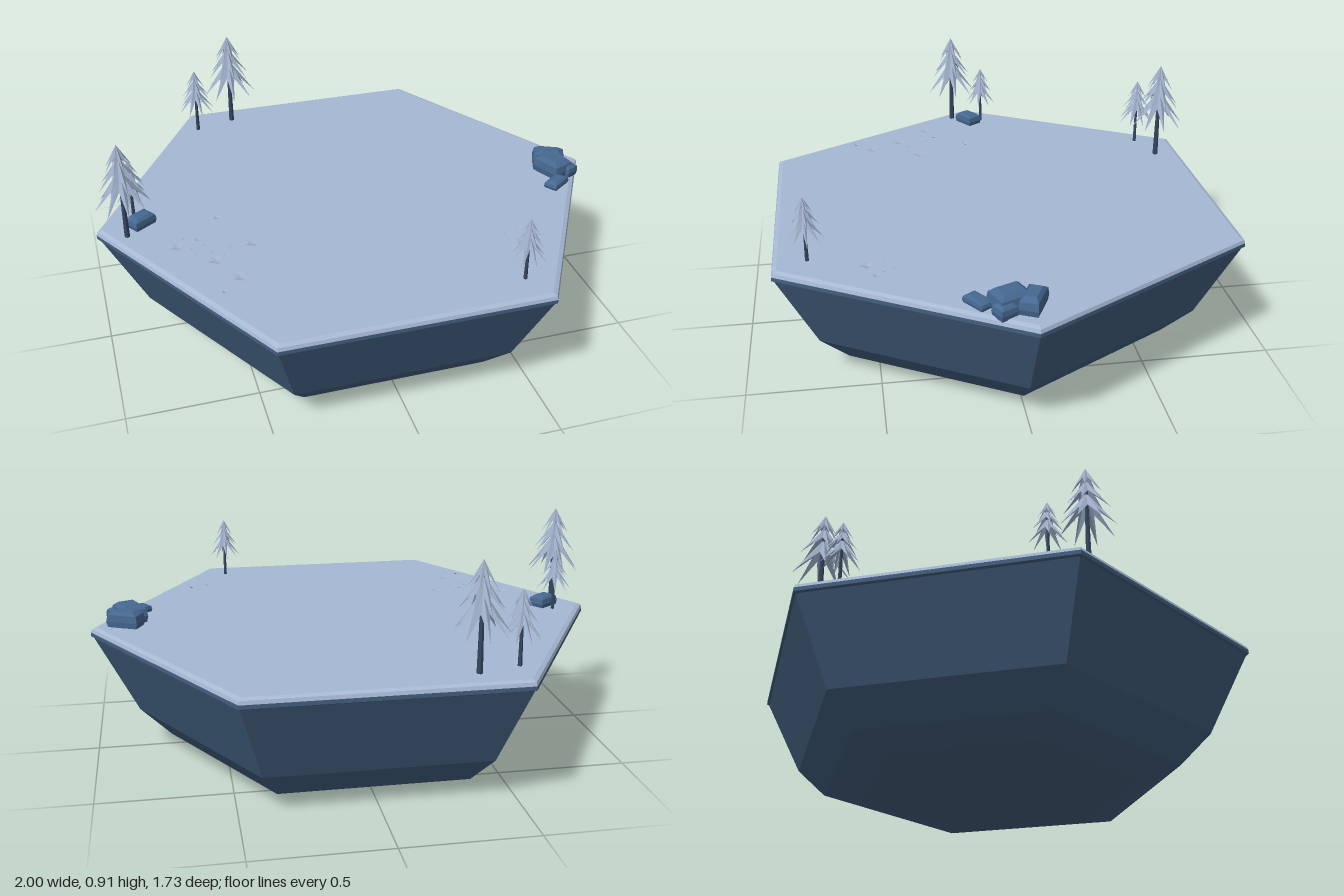
import * as THREE from 'three';

const mat = (name, color, side = THREE.FrontSide) => {
  const m = new THREE.MeshStandardMaterial({ color, side });
  m.name = name;
  return m;
};

// Faceted copy of a geometry: every face gets its own normal
function faceted(geometry) {
  const g = geometry.index ? geometry.toNonIndexed() : geometry;
  g.computeVertexNormals();
  return g;
}

// Faceted turned solid; profile is [radius, y] from bottom to top
function turned(profile, sides, start) {
  const points = profile.map(([r, y]) => new THREE.Vector2(r, y));
  return faceted(new THREE.LatheGeometry(points, sides, start));
}

// Star-shaped cone: alternate rim vertices are pulled in and shifted vertically
function starCone(spikes, radius, apexY, tipY, innerRatio, innerY) {
  const g = new THREE.ConeGeometry(1, 1, spikes * 2, 1, true);
  const p = g.attributes.position;
  for (let i = 0; i < p.count; i++) {
    if (p.getY(i) > 0) {
      p.setXYZ(i, 0, apexY, 0);
      continue;
    }
    const step = Math.round(Math.atan2(p.getX(i), p.getZ(i)) / (Math.PI / spikes));
    const inner = Math.abs(step) % 2 === 1;
    const r = radius * (inner ? innerRatio : 1);
    p.setXYZ(i, p.getX(i) * r, inner ? innerY : tipY, p.getZ(i) * r);
  }
  return faceted(g);
}

export function createModel() {
  const model = new THREE.Group();
  model.name = 'snowyIsland';
  const cliffMat = mat('cliff rock', 0x43607f);
  const snowMat = mat('snow', 0xa6b8d4);
  const needleMat = mat('frosted needles', 0xa0b0ca, THREE.DoubleSide);
  const trunkMat = mat('trunk', 0x34465e);
  const boulderMat = mat('boulder', 0x466890);
  const flakeMat = mat('frost plants', 0xa3b3cc, THREE.DoubleSide);
  const GROUND = 0.505;

  const add = (parent, name, geometry, material) => {
    const mesh = new THREE.Mesh(geometry, material);
    mesh.name = name;
    parent.add(mesh);
    return mesh;
  };

  // Hexagonal rock base and the snow sheet with a bevelled rim
  add(model, 'cliff', turned([[0, 0], [0.55, 0], [0.71, 0.04], [0.83, 0.155],
    [0.99, 0.465], [1, 0.47], [1, 0.485]], 6, Math.PI / 2), cliffMat);
  add(model, 'snowTop', turned([[1, 0.485], [0.995, 0.498], [0.978, GROUND], [0, GROUND]],
    6, Math.PI / 2), snowMat);

  // Fir trees: thin trunk and three drooping star tiers
  const tiers = [[0.74, 0.34, 0.27], [0.87, 0.55, 0.215], [1, 0.74, 0.14]];
  const trees = [
    [-0.89, 0.07, 0.39, 0.1], [-0.85, -0.06, 0.25, 0.5], [-0.33, -0.76, 0.4, 0],
    [-0.49, -0.71, 0.28, 0.2], [0.43, 0.74, 0.25, 0.1],
  ];
  trees.forEach(([x, z, h, turn], i) => {
    const tree = new THREE.Group();
    tree.name = 'firTree' + (i + 1);
    tree.position.set(x, GROUND, z);
    tree.rotation.y = turn;
    const trunk = new THREE.CylinderGeometry(h * 0.015, h * 0.028, h * 0.85, 6);
    add(tree, 'trunk', faceted(trunk), trunkMat).position.y = h * 0.425;
    tiers.forEach(([apex, tip, r], k) => {
      const innerY = apex - (apex - tip) * 0.48;
      const g = starCone(8, r * h, apex * h, tip * h, 0.36, innerY * h);
      add(tree, 'needleTier', g, needleMat).rotation.y = k * 0.12;
    });
    model.add(tree);
  });

  // Boulders: chamfered blocks [x, z, half width, height, half depth, turn]
  const s = Math.SQRT2;
  const block = [[0.9 * s, -0.1], [s, 0.35], [0.92 * s, 0.78], [0.6 * s, 1], [0, 1]];
  const boulders = [
    [0.865, 0.0, 0.065, 0.063, 0.036, -0.45], [0.85, 0.075, 0.05, 0.07, 0.065, 0.4],
    [0.9, 0.1, 0.03, 0.045, 0.035, 0.5], [0.82, 0.178, 0.05, 0.03, 0.028, 0.6],
    [-0.83, 0.0, 0.05, 0.045, 0.034, 0.6],
  ];
  boulders.forEach(([x, z, w, h, d, turn], i) => {
    const m = add(model, 'boulder' + (i + 1), turned(block, 4, Math.PI / 4), boulderMat);
    m.position.set(x, GROUND, z);
    m.scale.set(w, h, d);
    m.rotation.y = turn;
  });

  // Low five-pointed plants with lifted tips [x, z, radius]
  const plants = [
    [-0.72, 0.21, 0.034], [-0.6, 0.335, 0.034], [-0.45, 0.26, 0.034],
    [-0.535, 0.46, 0.034], [-0.605, 0.53, 0.016], [0.515, 0.53, 0.034],
    [0.59, 0.5, 0.02], [-0.545, 0.05, 0.02], [-0.64, 0.18, 0.016],
  ];
  plants.forEach(([x, z, r], i) => {
    const m = add(model, 'frostPlant' + (i + 1),
      starCone(5, r, 0.004, 0.014, 0.48, 0.008), flakeMat);
    m.position.set(x, GROUND, z);
    m.rotation.y = i * 1.3;
  });

  // Tiny scattered sprigs around the plants
  const sprigs = [
    [-0.69, 0.16], [-0.66, 0.28], [-0.62, 0.22], [-0.56, 0.3], [-0.53, 0.26],
    [-0.6, 0.27], [-0.67, 0.23], [0.48, 0.46], [0.54, 0.43], [0.56, 0.47],
  ];
  sprigs.forEach(([x, z], i) => {
    const m = add(model, 'sprig', starCone(3, 0.011, 0.003, 0.01, 0.3, 0.004), flakeMat);
    m.position.set(x, GROUND, z);
    m.rotation.y = i * 2.1;
  });

  return model;
}
